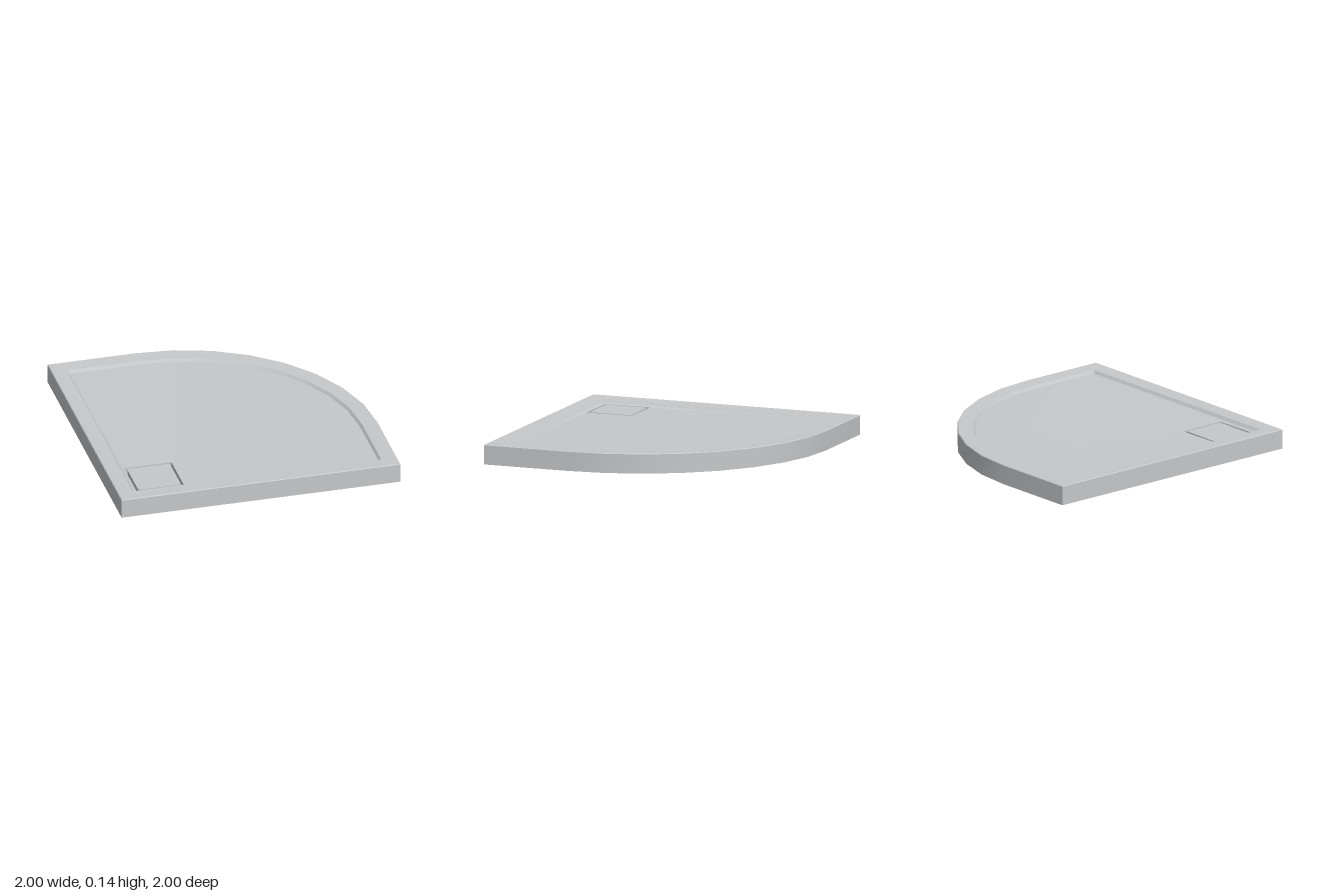
import * as THREE from 'three';
import { toCreasedNormals } from 'three/addons/utils/BufferGeometryUtils.js';

const HEIGHT = 0.14, FLOOR = 0.115, SUMP = 0.072, COVER = 0.108;
const DRAIN_X = -0.683, DRAIN_Z = 0.681;

// Quadrant footprint inset by d, as [x, z], counterclockwise from above
function outline(d) {
  const pts = [[-1 + d, 1 - d], [1 - d, 1 - d]];
  for (let i = 0; i <= 8; i++) {
    const a = (i / 8) * Math.PI / 2, r = 1.37 - d;
    pts.push([-0.37 + r * Math.cos(a), 0.37 - r * Math.sin(a)]);
  }
  pts.push([-1 + d, -1 + d]);
  return pts;
}

// Square around the drain with slightly rounded corners
function drainSquare(half, r = 0.014) {
  const pts = [];
  for (let c = 0; c < 4; c++) {
    const m = (c + 0.5) * Math.PI / 2, k = (half - r) * Math.SQRT2;
    for (let i = 0; i <= 2; i++) {
      const a = (c + i / 2) * Math.PI / 2;
      pts.push([
        DRAIN_X + k * Math.cos(m) + r * Math.cos(a),
        DRAIN_Z - k * Math.sin(m) - r * Math.sin(a),
      ]);
    }
  }
  return pts;
}

// Skin joining successive closed loops, each { pts, y }
function skin(loops) {
  const n = loops[0].pts.length, pos = [], index = [];
  for (const { pts, y } of loops) for (const [x, z] of pts) pos.push(x, y, z);
  for (let l = 0; l < loops.length - 1; l++) {
    for (let i = 0; i < n; i++) {
      const a = l * n + i, b = l * n + (i + 1) % n;
      index.push(a, b, b + n, a, b + n, a + n);
    }
  }
  const g = new THREE.BufferGeometry();
  g.setAttribute('position', new THREE.Float32BufferAttribute(pos, 3));
  g.setIndex(index);
  return toCreasedNormals(g, 0.5);
}

// Horizontal face, facing up or down, with an optional hole
function face(pts, hole, y, up) {
  const s = up ? -1 : 1;
  const flat = p => p.map(([x, z]) => new THREE.Vector2(x, s * z));
  const shape = new THREE.Shape(flat(pts));
  if (hole) shape.holes.push(new THREE.Path(flat(hole)));
  return new THREE.ShapeGeometry(shape).rotateX(s * Math.PI / 2).translate(0, y, 0);
}

export function createModel() {
  const group = new THREE.Group();
  group.name = 'showerTray';
  const acrylic = new THREE.MeshStandardMaterial({ color: 0xc6c8ca });
  acrylic.name = 'greyAcrylic';
  const add = (name, geometry) => {
    const mesh = new THREE.Mesh(geometry, acrylic);
    mesh.name = name;
    group.add(mesh);
  };

  // Outer wall, rim sloping gently inward, and inner wall
  const profile = [[0, 0], [0, HEIGHT - 0.005], [0.005, HEIGHT], [0.11, 0.135], [0.124, FLOOR]];
  add('rim', skin(profile.map(([d, y]) => ({ pts: outline(d), y }))));

  // Floor falling slightly towards the drain recess
  const recess = drainSquare(0.17);
  const floor = face(outline(0.124), recess, FLOOR, true);
  const p = floor.attributes.position;
  for (let i = 0; i < p.count; i++) {
    const dx = Math.abs(p.getX(i) - DRAIN_X), dz = Math.abs(p.getZ(i) - DRAIN_Z);
    if (Math.max(dx, dz) < 0.172) p.setY(i, COVER);
  }
  floor.computeVertexNormals();
  add('floor', floor);

  // Drain recess and its square cover
  add('recessWall', skin([{ pts: recess, y: COVER }, { pts: recess, y: SUMP }]));
  add('recessBottom', face(recess, null, SUMP, true));
  const cover = drainSquare(0.153);
  add('coverEdge', skin([{ pts: cover, y: SUMP }, { pts: cover, y: COVER }]));
  add('coverTop', face(cover, null, COVER, true));

  // Underside with the round waste opening
  const waste = [];
  for (let i = 0; i < 32; i++) {
    const a = (i / 32) * Math.PI * 2;
    waste.push([DRAIN_X + 0.15 * Math.cos(a), DRAIN_Z - 0.15 * Math.sin(a)]);
  }
  add('underside', face(outline(0), waste, 0, false));
  add('wasteWall', skin([{ pts: waste, y: SUMP - 0.004 }, { pts: waste, y: 0 }]));
  add('wasteTop', face(waste, null, SUMP - 0.004, false));
  return group;
}
